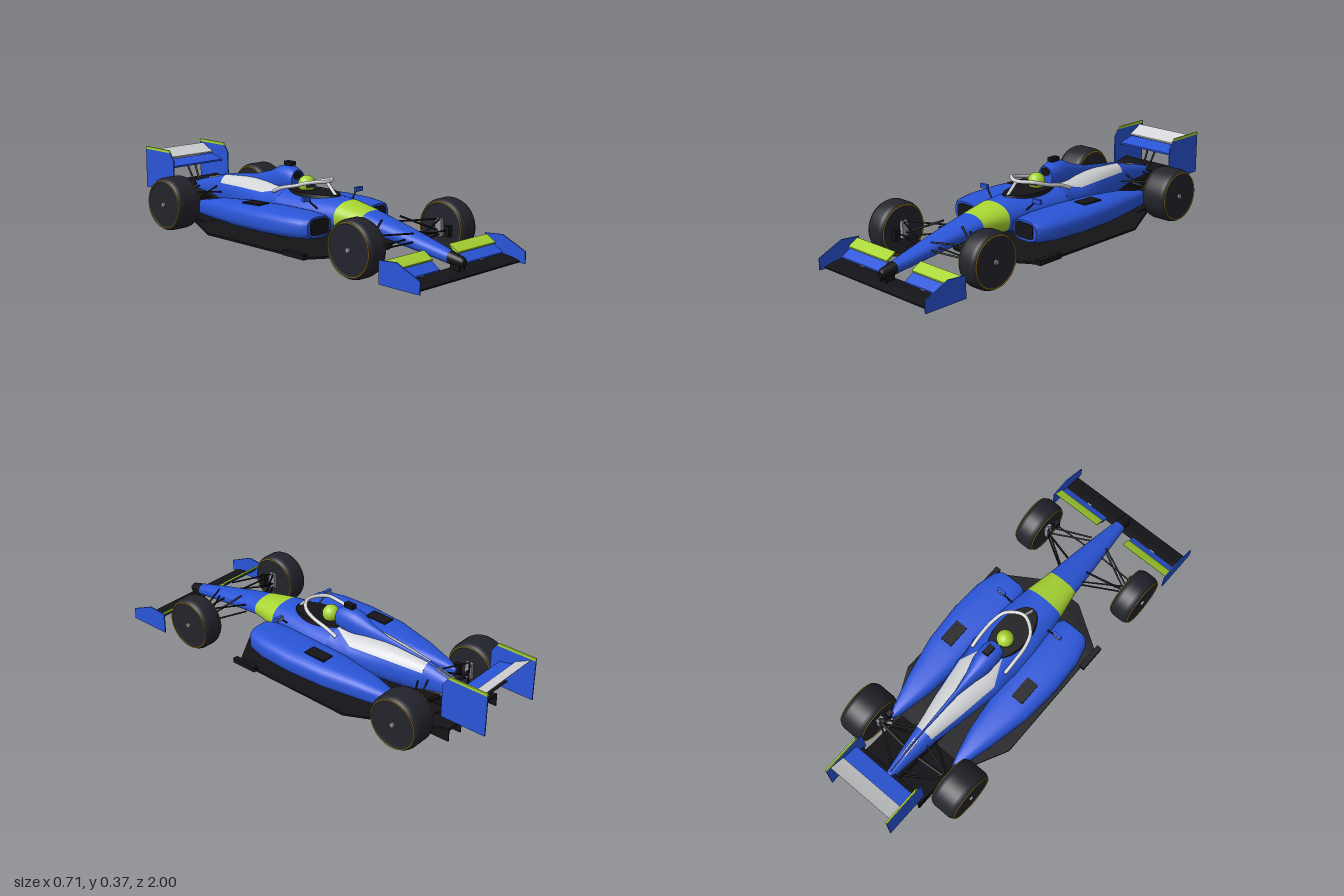
import * as THREE from 'three';

const mat = (name, color, side = THREE.FrontSide) => {
  const m = new THREE.MeshStandardMaterial({ color, side });
  m.name = name;
  return m;
};
const blue = mat('blue paint', 0x2a55d8);
const lime = mat('lime paint', 0xa8d432);
const silver = mat('silver paint', 0xd2d3d6);
const black = mat('black carbon', 0x141418);
const charcoal = mat('charcoal rubber', 0x23232c);
const gold = mat('gold ring', 0xc9a21c);
const grey = mat('grey metal', 0x8f9298);
const brown = mat('brown plank', 0x4a3426);

export function createModel() {
  const car = new THREE.Group();
  car.name = 'openWheelRaceCar';

  const add = (name, geo, material, x = 0, y = 0, z = 0, parent = car) => {
    const m = new THREE.Mesh(geo, material);
    m.name = name;
    m.position.set(x, y, z);
    parent.add(m);
    return m;
  };
  const box = (name, material, w, h, d, x, y, z) => add(name, new THREE.BoxGeometry(w, h, d), material, x, y, z);

  // Skin through rounded sections [z, centreX, halfWidth, bottom, top], front to back
  const loft = (name, material, rows, { e = 2.2, arc, cap = true, n = 32 } = {}) => {
    const pos = [], idx = [], W = n + 1;
    const ring = ([z, cx, hw, yb, yt], i) => {
      const [a0, a1] = arc ? arc(i) : [-Math.PI / 2, Math.PI * 1.5];
      for (let j = 0; j <= n; j++) {
        const a = a0 + (a1 - a0) * j / n, c = Math.cos(a), s = Math.sin(a);
        pos.push(cx + hw * Math.sign(c) * Math.abs(c) ** (2 / e),
          (yb + yt) / 2 + (yt - yb) / 2 * Math.sign(s) * Math.abs(s) ** (2 / e), z);
      }
    };
    rows.forEach(ring);
    for (let i = 0; i < rows.length - 1; i++) for (let j = 0; j < n; j++) {
      const a = i * W + j, c = a + W;
      idx.push(a, c, a + 1, a + 1, c, c + 1);
    }
    if (cap && !arc) [0, rows.length - 1].forEach((r, back) => {
      const start = pos.length / 3, [z, cx, , yb, yt] = rows[r];
      ring(rows[r], r);
      const mid = pos.length / 3;
      pos.push(cx, (yb + yt) / 2, z);
      for (let j = 0; j < n; j++) back ? idx.push(mid, start + j + 1, start + j) : idx.push(mid, start + j, start + j + 1);
    });
    const g = new THREE.BufferGeometry();
    g.setAttribute('position', new THREE.Float32BufferAttribute(pos, 3));
    g.setIndex(idx);
    g.computeVertexNormals();
    return add(name, g, material);
  };

  // Outline in (z, y) pulled along x
  const side = (name, material, shape, x0, x1) => {
    const g = new THREE.ExtrudeGeometry(shape, { depth: x1 - x0, bevelEnabled: false, curveSegments: 8 });
    g.rotateY(-Math.PI / 2);
    return add(name, g, material, x1);
  };
  const poly = pts => new THREE.Shape(pts.map(p => new THREE.Vector2(...p)));
  // Curved wing element from leading edge to trailing edge
  const wing = (name, material, x0, x1, [z0, y0], [z1, y1], t, sag) => {
    const s = new THREE.Shape(), mz = (z0 + z1) / 2, my = (y0 + y1) / 2 - sag;
    s.moveTo(z0, y0);
    s.quadraticCurveTo(mz, my - t, z1, y1);
    s.lineTo(z1, y1 + 0.003);
    s.quadraticCurveTo(mz, my + t, z0, y0 + t * 0.6);
    return side(name, material, s, x0, x1);
  };
  const rod = (name, material, a, b, r = 0.004) => {
    const A = new THREE.Vector3(...a), B = new THREE.Vector3(...b), d = B.clone().sub(A);
    const m = add(name, new THREE.CylinderGeometry(r, r, d.length(), 8), material);
    m.position.copy(A).add(B).multiplyScalar(0.5);
    m.quaternion.setFromUnitVectors(new THREE.Vector3(0, 1, 0), d.normalize());
  };

  // Nose and cockpit tub
  loft('noseTip', black, [[0.945, 0, 0.014, 0.062, 0.09], [0.935, 0, 0.021, 0.056, 0.1], [0.87, 0, 0.03, 0.06, 0.116]]);
  loft('nose', blue, [[0.87, 0, 0.03, 0.06, 0.116], [0.74, 0, 0.046, 0.08, 0.148],
    [0.56, 0, 0.066, 0.105, 0.188], [0.42, 0, 0.08, 0.12, 0.217]]);
  loft('noseBand', lime, [[0.42, 0, 0.08, 0.12, 0.217], [0.35, 0, 0.093, 0.11, 0.231], [0.28, 0, 0.106, 0.1, 0.243]]);
  loft('cockpitTub', blue, [[0.28, 0, 0.106, 0.1, 0.243], [0.18, 0, 0.122, 0.088, 0.249], [0.05, 0, 0.135, 0.082, 0.251],
    [-0.08, 0, 0.135, 0.08, 0.254]]);

  // Engine cover with silver upper panels
  const cover = [[-0.08, 0, 0.135, 0.08, 0.254], [-0.2, 0, 0.122, 0.08, 0.262], [-0.4, 0, 0.086, 0.08, 0.26], [-0.57, 0, 0.052, 0.09, 0.246]];
  const split = i => [1.25, 0.58, 0.52, 0.5][i];
  loft('engineCoverPanel', silver, cover, { arc: i => [split(i), Math.PI - split(i)] });
  loft('engineCoverSides', blue, cover, { arc: i => [Math.PI - split(i), 2 * Math.PI + split(i)] });
  loft('tail', blue, [cover[3], [-0.7, 0, 0.034, 0.11, 0.215], [-0.82, 0, 0.018, 0.13, 0.18]]);
  loft('airboxAndSpine', blue, [[-0.06, 0, 0.042, 0.24, 0.335], [-0.1, 0, 0.053, 0.235, 0.35], [-0.17, 0, 0.049, 0.22, 0.345],
    [-0.24, 0, 0.03, 0.2, 0.312], [-0.34, 0, 0.013, 0.2, 0.283], [-0.57, 0, 0.006, 0.2, 0.252], [-0.8, 0, 0.005, 0.15, 0.19]]);
  const intake = add('airIntake', new THREE.CylinderGeometry(0.027, 0.027, 0.006, 24), black, 0, 0.31, -0.059);
  intake.rotation.x = Math.PI / 2;
  intake.scale.z = 0.75;
  box('cameraPod', black, 0.03, 0.02, 0.05, 0, 0.361, -0.115);
  loft('gearbox', black, [[-0.5, 0, 0.05, 0.06, 0.15], [-0.75, 0, 0.04, 0.08, 0.15], [-0.83, 0, 0.025, 0.1, 0.15]], { e: 4 });
  box('rainLight', black, 0.03, 0.03, 0.035, 0, 0.125, -0.843);

  // Cockpit opening, driver helmet and halo
  const opening = add('cockpitOpening', new THREE.CylinderGeometry(0.078, 0.085, 0.03, 40), black, 0, 0.239, 0.05);
  opening.scale.z = 1.95;
  add('helmet', new THREE.SphereGeometry(0.041, 28, 20), lime, 0, 0.278, 0);
  const phi = Math.PI / 2;
  add('visor', new THREE.SphereGeometry(0.0418, 24, 6, phi - 0.85, 1.7, 1.5, 0.35), charcoal, 0, 0.278, 0);
  const halo = [[0.1, 0.24, -0.12], [0.102, 0.265, -0.06], [0.097, 0.287, 0.03], [0.075, 0.305, 0.09], [0, 0.307, 0.135],
    [-0.075, 0.305, 0.09], [-0.097, 0.287, 0.03], [-0.102, 0.265, -0.06], [-0.1, 0.24, -0.12]];
  const haloCurve = new THREE.CatmullRomCurve3(halo.map(p => new THREE.Vector3(...p)), false, 'centripetal');
  add('haloHoop', new THREE.TubeGeometry(haloCurve, 64, 0.009, 10), silver);
  rod('haloPillar', silver, [0, 0.305, 0.133], [0, 0.242, 0.2], 0.008);

  // Floor, plank and diffuser
  const half = [[0.1, 0.435], [0.31, 0.3], [0.318, -0.345], [0.19, -0.6]];
  const outline = poly([...half, ...half.map(([x, z]) => [-x, z]).reverse()].map(([x, z]) => [x, -z]));
  const floorGeo = new THREE.ExtrudeGeometry(outline, { depth: 0.01, bevelEnabled: false });
  floorGeo.rotateX(-Math.PI / 2);
  add('floor', floorGeo, black, 0, 0.025, 0);
  box('plank', brown, 0.11, 0.01, 0.88, 0, 0.02, -0.09);
  side('diffuser', black, poly([[-0.54, 0.026], [-0.54, 0.036], [-0.82, 0.1], [-0.82, 0.088]]), -0.18, 0.18);
  for (const x of [-0.178, -0.09, 0, 0.09, 0.178])
    side('diffuserStrake', black, poly([[-0.56, 0.03], [-0.82, 0.094], [-0.82, 0.035]]), x - 0.003, x + 0.003);

  // Centre elements of both wings
  wing('frontWingMainPlane', black, -0.345, 0.345, [0.972, 0.022], [0.872, 0.042], 0.012, 0);
  wing('rearWingMainPlane', blue, -0.176, 0.176, [-0.82, 0.262], [-0.91, 0.288], 0.014, 0.008);
  wing('rearWingFlap', silver, -0.176, 0.176, [-0.9, 0.296], [-0.975, 0.338], 0.011, 0.008);
  wing('beamWing', black, -0.176, 0.176, [-0.79, 0.165], [-0.87, 0.187], 0.012, 0.004);

  for (const s of [1, -1]) {
    const span = (a, b) => s > 0 ? [a, b] : [-b, -a];
    // Front wing flaps and end plates
    wing('frontWingFlap', blue, ...span(0.082, 0.345), [0.88, 0.045], [0.825, 0.082], 0.01, 0.005);
    wing('frontWingUpperFlap', lime, ...span(0.082, 0.345), [0.84, 0.083], [0.79, 0.115], 0.01, 0.004);
    side('frontWingEndPlate', blue, poly([[1, 0.02], [1, 0.075], [0.875, 0.13], [0.78, 0.122], [0.78, 0.02]]), ...span(0.343, 0.349));
    box('nosePylon', black, 0.006, 0.04, 0.05, s * 0.016, 0.05, 0.905);
    box('wingAdjuster', grey, 0.025, 0.004, 0.006, s * 0.197, 0.046, 0.884);

    // Rear wing end plates and supports
    side('rearWingEndPlate', blue, poly([[-0.775, 0.147], [-0.775, 0.31], [-0.8, 0.345], [-1, 0.345], [-1, 0.147]]), ...span(0.175, 0.181));
    side('endPlateTrim', lime, poly([[-0.8, 0.345], [-0.81, 0.358], [-1, 0.358], [-1, 0.345]]), ...span(0.174, 0.182));
    rod('rearWingSupport', black, [s * 0.015, 0.15, -0.8], [s * 0.025, 0.27, -0.865], 0.005);

    // Side pod with inlet and vent
    loft('sidePod', blue, [[0.275, s * 0.19, 0.072, 0.1, 0.196], [0.25, s * 0.195, 0.09, 0.093, 0.2], [0.16, s * 0.2, 0.108, 0.087, 0.204],
      [0, s * 0.205, 0.111, 0.083, 0.204], [-0.2, s * 0.203, 0.098, 0.08, 0.197], [-0.4, s * 0.193, 0.064, 0.078, 0.178],
      [-0.54, s * 0.19, 0.028, 0.08, 0.15], [-0.59, s * 0.188, 0.008, 0.09, 0.13]], { e: 2.8 });
    loft('sidePodInlet', black, [[0.279, s * 0.187, 0.056, 0.112, 0.186], [0.272, s * 0.187, 0.056, 0.112, 0.186]], { e: 5 });
    box('coolingVent', black, 0.062, 0.009, 0.115, s * 0.217, 0.2, -0.115).rotation.x = -0.03;
    box('floorEdgeFence', black, 0.026, 0.024, 0.135, s * 0.318, 0.042, 0.255);

    // Mirrors
    box('mirror', blue, 0.044, 0.02, 0.016, s * 0.17, 0.255, 0.172);
    box('mirrorGlass', grey, 0.036, 0.014, 0.004, s * 0.17, 0.255, 0.163);
    rod('mirrorStalk', black, [s * 0.155, 0.248, 0.17], [s * 0.11, 0.205, 0.18]);

    // Wheels: [z, half width]
    for (const [z, w, end] of [[0.605, 0.052, 'front'], [-0.645, 0.068, 'rear']]) {
      const wheel = new THREE.Group();
      wheel.name = end + 'Wheel';
      wheel.position.set(s * (0.348 - w), 0.13, z);
      wheel.rotation.z = -s * Math.PI / 2;
      car.add(wheel);
      const edge = [[0.108, w - 0.004], [0.114, w - 0.001], [0.121, w - 0.005], [0.127, w - 0.015], [0.13, w - 0.027]];
      const profile = [...edge.map(([r, y]) => [r, -y]), ...edge.reverse()].map(p => new THREE.Vector2(...p));
      add('tyre', new THREE.LatheGeometry(profile, 48), charcoal, 0, 0, 0, wheel);
      add('wheelDisc', new THREE.CylinderGeometry(0.11, 0.11, 2 * w - 0.008, 48), charcoal, 0, 0, 0, wheel);
      for (const f of [1, -1])
        add('rimRing', new THREE.TorusGeometry(0.116, 0.0028, 6, 48), gold, 0, f * (w - 0.001), 0, wheel).rotation.x = Math.PI / 2;
      add('wheelNut', new THREE.CylinderGeometry(0.011, 0.011, 0.012, 12), grey, 0, w - 0.001, 0, wheel);
      const inner = 0.348 - 2 * w;
      box(end + 'Upright', grey, 0.02, 0.08, 0.035, s * (inner - 0.004), 0.135, z);
      box('brakeDuct', black, 0.024, 0.05, 0.028, s * (inner - 0.012), 0.125, z + 0.055);
    }

    // Front suspension
    const f = s * 0.245, r = s * 0.21;
    for (const [z, x] of [[0.7, 0.045], [0.49, 0.068]]) {
      rod('frontUpperArm', black, [s * x, 0.168, z], [f, 0.172, 0.605]);
      rod('frontLowerArm', black, [s * x, 0.13, z], [f, 0.102, 0.605]);
    }
    rod('frontSteeringArm', black, [s * 0.05, 0.135, 0.66], [f, 0.13, 0.655]);
    rod('frontPushRod', black, [s * 0.06, 0.2, 0.53], [f, 0.115, 0.605], 0.005);

    // Rear suspension
    for (const z of [-0.54, -0.76]) {
      rod('rearUpperArm', black, [s * 0.03, 0.165, z], [r, 0.175, -0.645]);
      rod('rearLowerArm', black, [s * 0.035, 0.1, z], [r, 0.095, -0.645]);
    }
    rod('driveShaft', black, [s * 0.03, 0.13, -0.66], [r, 0.13, -0.645], 0.008);
    rod('rearPushRod', black, [s * 0.04, 0.19, -0.6], [r, 0.105, -0.645]);
    box('tailStripe', silver, 0.005, 0.006, 0.09, s * 0.009, 0.225, -0.66).rotation.x = -0.23;
  }
  return car;
}
